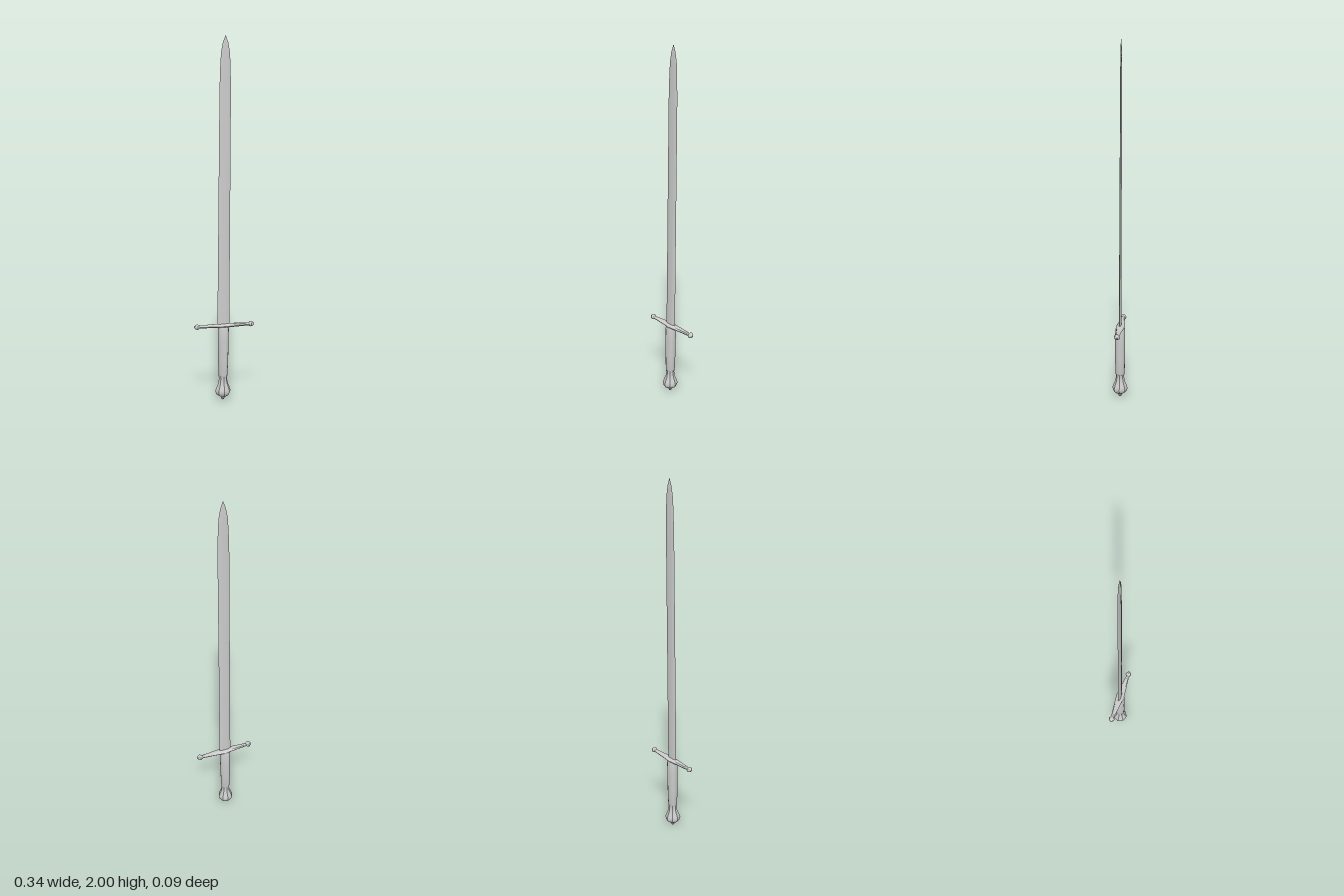
import * as THREE from 'three';
import { toCreasedNormals } from 'three/addons/utils/BufferGeometryUtils.js';

// Round section with n sides, and a lens-shaped section for the blade
const round = (n) => Array.from({ length: n }, (_, i) => {
  const a = (i / n) * Math.PI * 2;
  return [Math.cos(a), Math.sin(a)];
});
const lens = [[1, 0], [0.6, 0.7], [0.2, 1], [-0.2, 1], [-0.6, 0.7],
  [-1, 0], [-0.6, -0.7], [-0.2, -1], [0.2, -1], [0.6, -0.7]];

// Skins rings [y, halfX, halfZ] along y; a ring of zero size closes an end
function loft(rings, section, crease) {
  const n = section.length, pos = [], index = [];
  for (const [y, hx, hz] of rings)
    for (const [x, z] of section) pos.push(x * hx, y, z * hz);
  for (let r = 0; r < rings.length - 1; r++) {
    for (let j = 0; j < n; j++) {
      const a = r * n + j, b = r * n + (j + 1) % n;
      if (rings[r][1] > 0) index.push(a, a + n, b);
      if (rings[r + 1][1] > 0) index.push(b, a + n, b + n);
    }
  }
  const g = new THREE.BufferGeometry();
  g.setAttribute('position', new THREE.Float32BufferAttribute(pos, 3));
  g.setIndex(index);
  return toCreasedNormals(g, crease);
}

// The whole sword leans very slightly to its left and back
function lean(g) {
  const p = g.attributes.position;
  for (let i = 0; i < p.count; i++) {
    const y = p.getY(i);
    p.setX(i, p.getX(i) - 0.009 + 0.009 * y);
    p.setZ(i, p.getZ(i) - 0.004 * y);
  }
  return g;
}

export function createModel() {
  const group = new THREE.Group();
  const material = new THREE.MeshStandardMaterial({ color: 0xcccccc });
  const add = (name, geometry) => {
    const mesh = new THREE.Mesh(geometry, material);
    mesh.name = name;
    group.add(mesh);
    return mesh;
  };

  // Thin blade with a short rounded point
  add('blade', lean(loft([
    [0.42, 0, 0], [0.42, 0.034, 0.007], [0.8, 0.033, 0.006], [1.3, 0.032, 0.005],
    [1.72, 0.031, 0.004], [1.84, 0.028, 0.004], [1.91, 0.024, 0.003],
    [1.96, 0.015, 0.003], [2, 0, 0],
  ], lens, 0.6)));

  // Grip, a little slimmer towards the pommel
  add('grip', lean(loft([
    [0.135, 0, 0], [0.135, 0.023, 0.024], [0.15, 0.026, 0.027], [0.24, 0.029, 0.029],
    [0.34, 0.031, 0.029], [0.41, 0.031, 0.028], [0.425, 0.028, 0.024], [0.425, 0, 0],
  ], round(10), 0.9)));

  // Flared pommel with a small button underneath
  add('pommel', lean(loft([
    [0.022, 0, 0], [0.022, 0.022, 0.022], [0.034, 0.038, 0.038], [0.052, 0.044, 0.044],
    [0.068, 0.039, 0.039], [0.1, 0.026, 0.026], [0.125, 0.023, 0.023],
    [0.14, 0.025, 0.025], [0.14, 0, 0],
  ], round(8), 0.7)));
  add('pommelButton', lean(loft([
    [0, 0, 0], [0.002, 0.007, 0.007], [0.014, 0.012, 0.012], [0.026, 0.012, 0.012], [0.026, 0, 0],
  ], round(8), 0.7)));

  // Crossguard tapering to a faceted knob at each end; mirrored from one half
  const half = [[0.035, 0.0105, 0.021], [0.137, 0.009, 0.0095], [0.152, 0.016, 0.018],
    [0.161, 0.013, 0.014], [0.17, 0.004, 0.005], [0.17, 0, 0]];
  const mirrored = half.map(([x, h, d]) => [-x, h, d]).reverse();
  const guard = add('crossguard', loft([...mirrored, [0, 0.013, 0.025], ...half], round(8), 0.8));
  guard.geometry.rotateZ(-Math.PI / 2);
  guard.rotation.y = -0.018;
  guard.position.set(0, 0.43, -0.003);

  return group;
}
